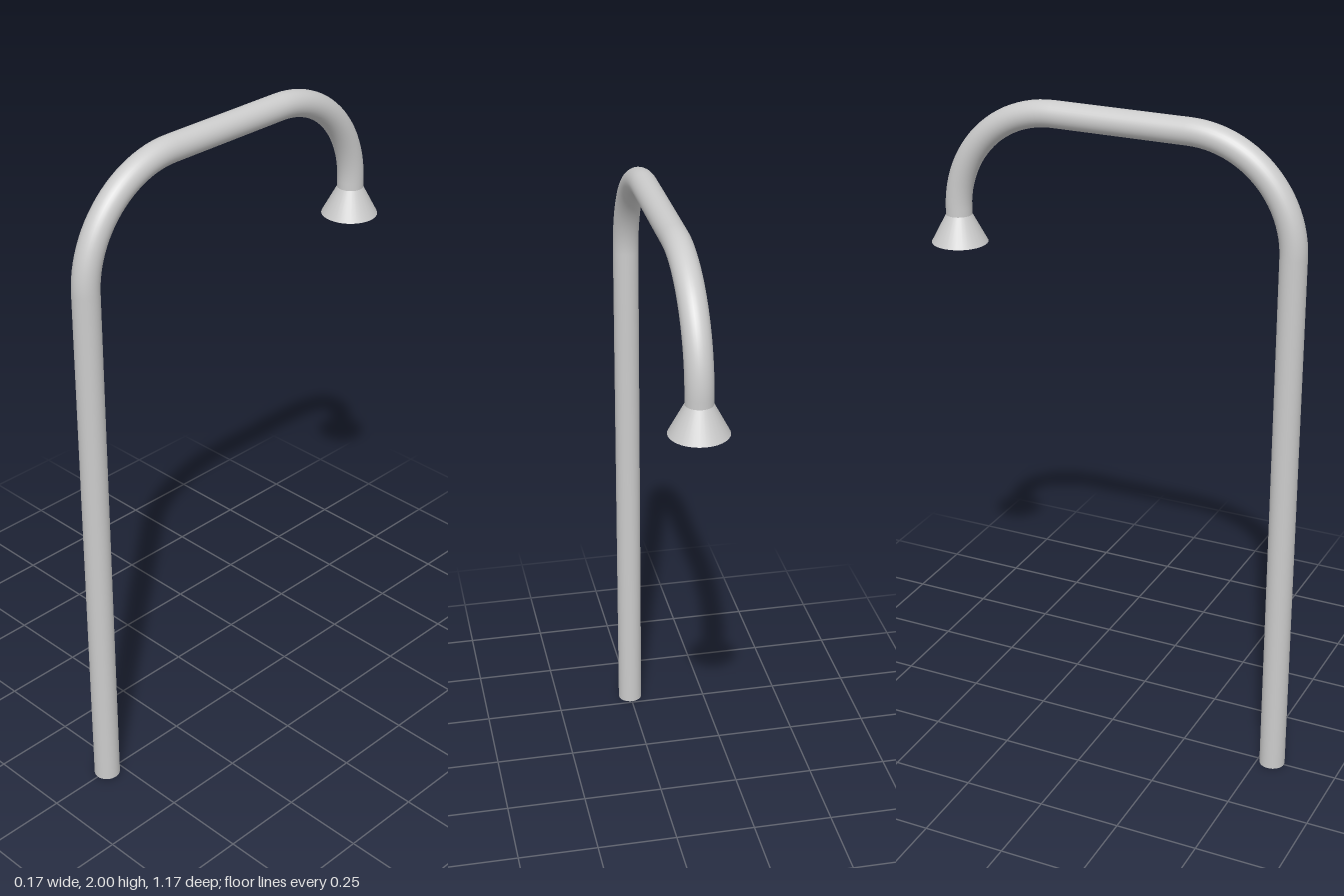
import * as THREE from 'three';

const R = 0.039;        // pipe radius
const BEND = 0.315;     // bend centreline radius
const TOP = 2 - R;      // height of the horizontal run
const SPRING = TOP - BEND;
const POLE_Z = 0.545;
const HEAD_Z = -0.5;
const SIDES = 32;

export function createModel() {
  const group = new THREE.Group();
  const material = new THREE.MeshStandardMaterial({ color: 0xcccccc });

  const add = (name, geometry, y, z) => {
    const mesh = new THREE.Mesh(geometry, material);
    mesh.name = name;
    mesh.position.set(0, y, z);
    group.add(mesh);
    return mesh;
  };
  const pipe = (length, open) => new THREE.CylinderGeometry(R, R, length, SIDES, 1, open);

  // Upright pole, closed at the foot
  add('pole', pipe(SPRING, false), SPRING / 2, POLE_Z);

  // Quarter bends at each end of the horizontal run
  for (const [name, z, side] of [['poleBend', POLE_Z, 1], ['headBend', HEAD_Z, -1]]) {
    const bend = new THREE.TorusGeometry(BEND, R, SIDES, 24, Math.PI / 2);
    add(name, bend, SPRING, z - side * BEND).rotation.y = -side * Math.PI / 2;
  }

  // Horizontal arm
  const armLength = POLE_Z - HEAD_Z - 2 * BEND;
  add('arm', pipe(armLength, true), TOP, (POLE_Z + HEAD_Z) / 2).rotation.x = Math.PI / 2;

  // Short drop and flared shower head
  const headTop = 1.625, headBottom = 1.54;
  add('neck', pipe(SPRING - headTop, true), (SPRING + headTop) / 2, HEAD_Z);
  add('showerHead', new THREE.CylinderGeometry(R, 0.084, headTop - headBottom, SIDES),
    (headTop + headBottom) / 2, HEAD_Z);

  return group;
}
